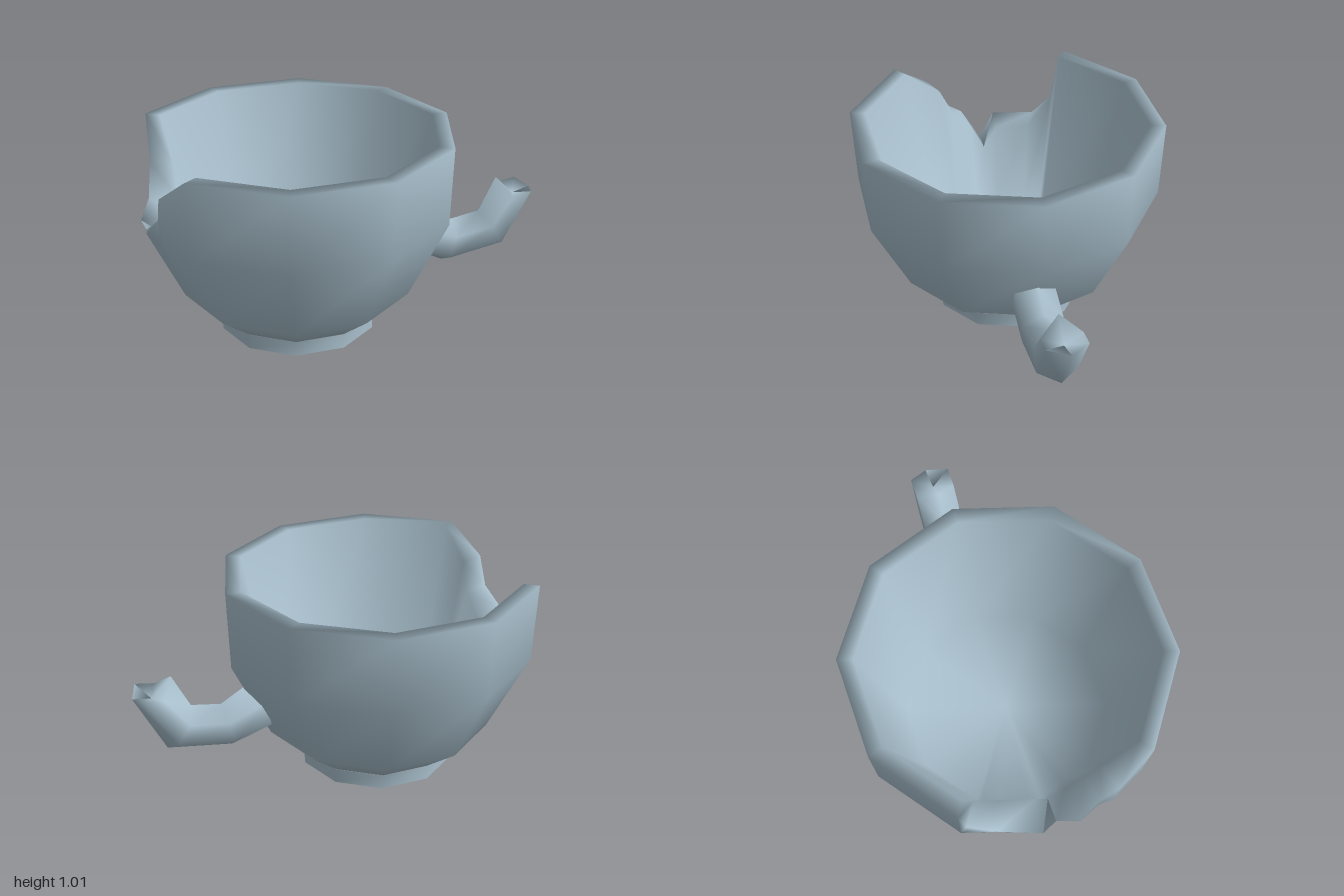
import * as THREE from 'three';
import { mergeVertices } from 'three/addons/utils/BufferGeometryUtils.js';

const CUP_X = -0.265;

// Profiles as [radius, height]
const BASE = [[0, 0.085]];
const OUTER = [[0.39, 0.075], [0.573, 0.22], [0.767, 0.62], [0.782, 1.01]];
const INNER = [[0.705, 1.01], [0.51, 0.21], [0, 0.21]];
const FOOT = [[0.392, 0], [0.392, 0.075]];

// Broken edge along the chipped corner, as [z, height, outward bulge]
const CHIP = [[0.27, 0.87, 1.04], [0.2, 0.73, 1.01], [0.09, 0.64, 1.02], [0, 0.5, 0.98],
  [-0.09, 0.61, 1.02], [-0.3, 0.63, 1], [-0.43, 0.77, 1]];

const corner = k => [Math.cos(k * Math.PI / 5), Math.sin(k * Math.PI / 5)];

function mesh(points, index, material, name) {
  let geo = new THREE.BufferGeometry();
  geo.setAttribute('position', new THREE.Float32BufferAttribute(points.flat(), 3));
  geo.setIndex(index);
  geo = mergeVertices(geo, 1e-4);
  geo.computeVertexNormals();
  const m = new THREE.Mesh(geo, material);
  m.name = name;
  return m;
}

// Cut a profile point down to the broken edge, sliding along the profile
function clampTo(profile, [r, y], h) {
  if (y <= h) return [r, y];
  for (let i = 0; i < profile.length - 1; i++) {
    let [a, b] = [profile[i], profile[i + 1]];
    if (a[1] > b[1]) [a, b] = [b, a];
    if (h >= a[1] && h <= b[1]) {
      const t = (h - a[1]) / (b[1] - a[1]);
      return [a[0] + (b[0] - a[0]) * t, h];
    }
  }
  return [r, y];
}

// Skin a closed loop of columns, each a list of points from below upward
function skin(rings, material, name) {
  const rows = rings[0].length, index = [];
  rings.forEach((ring, i) => {
    const next = (i + 1) % rings.length;
    for (let j = 0; j < rows - 1; j++) {
      const a = i * rows + j, b = next * rows + j;
      index.push(a, a + 1, b, b, a + 1, b + 1);
    }
  });
  return mesh(rings.flat(), index, material, name);
}

// Ten-sided bowl with one corner chipped away
function buildBowl(material) {
  const columns = [];
  for (let k = 0; k < 10; k++) {
    if (k !== 5) {
      columns.push([...corner(k), 1.01, 1]);
      continue;
    }
    const side = corner(4);
    for (const [z, h, bulge] of CHIP) {
      const t = Math.abs(z) / 0.459;
      columns.push([-1 + (side[0] + 1) * t, Math.sign(z) * side[1] * t, h, bulge]);
    }
  }
  const rings = columns.map(([cx, cz, h, bulge]) => [
    ...BASE,
    ...OUTER.map(p => {
      const [r, y] = clampTo(OUTER, p, h);
      return [y > 0.4 ? r * bulge : r, y];
    }),
    ...INNER.map(p => clampTo(INNER, p, h)),
  ].map(([r, y]) => [CUP_X + cx * r, y, cz * r]));
  return skin(rings, material, 'bowl');
}

// Thin ten-sided foot ring
function buildFoot(material) {
  const rings = [];
  for (let k = 0; k < 10; k++) {
    const [cx, cz] = corner(k);
    rings.push(FOOT.map(([r, y]) => [CUP_X + cx * r, y, cz * r]));
  }
  return skin(rings, material, 'footRing');
}

// Six-sided handle stub ending in a jagged break
function buildHandle(material) {
  // Each section: top, upper sides, lower sides, bottom as [x, y]
  const sections = [
    [[0.44, 0.5], [0.36, 0.44], [0.335, 0.32], [0.345, 0.29]],
    [[0.56, 0.43], [0.55, 0.37], [0.525, 0.26], [0.515, 0.2]],
    [[0.71, 0.455], [0.745, 0.4], [0.805, 0.305], [0.84, 0.25]],
    [[0.8, 0.63], [0.86, 0.555], [0.955, 0.57], [0.995, 0.55]],
  ];
  const points = [], index = [];
  const z0 = 0.01, w = 0.1;
  for (const [t, u, l, b] of sections) {
    points.push([...t, z0], [...u, z0 + w], [...l, z0 + w], [...b, z0 - 0.01], [...l, z0 - w], [...u, z0 - w]);
  }
  for (let s = 0; s < sections.length - 1; s++) {
    for (let k = 0; k < 6; k++) {
      const a = s * 6 + k, b = s * 6 + (k + 1) % 6;
      index.push(a, b, a + 6, b, b + 6, a + 6);
    }
  }
  // End caps, the broken one slightly hollowed
  points.push([0.37, 0.39, z0], [0.9, 0.53, z0]);
  for (let k = 0; k < 6; k++) {
    const n = (k + 1) % 6;
    index.push(24, n, k, 25, 18 + k, 18 + n);
  }
  return mesh(points, index, material, 'brokenHandle');
}

export function createModel() {
  const ceramic = new THREE.MeshStandardMaterial({ color: 0xa9c0cd, side: THREE.DoubleSide });
  ceramic.name = 'pale blue ceramic';
  const group = new THREE.Group();
  group.name = 'brokenCup';
  group.add(buildBowl(ceramic), buildFoot(ceramic), buildHandle(ceramic));
  return group;
}
